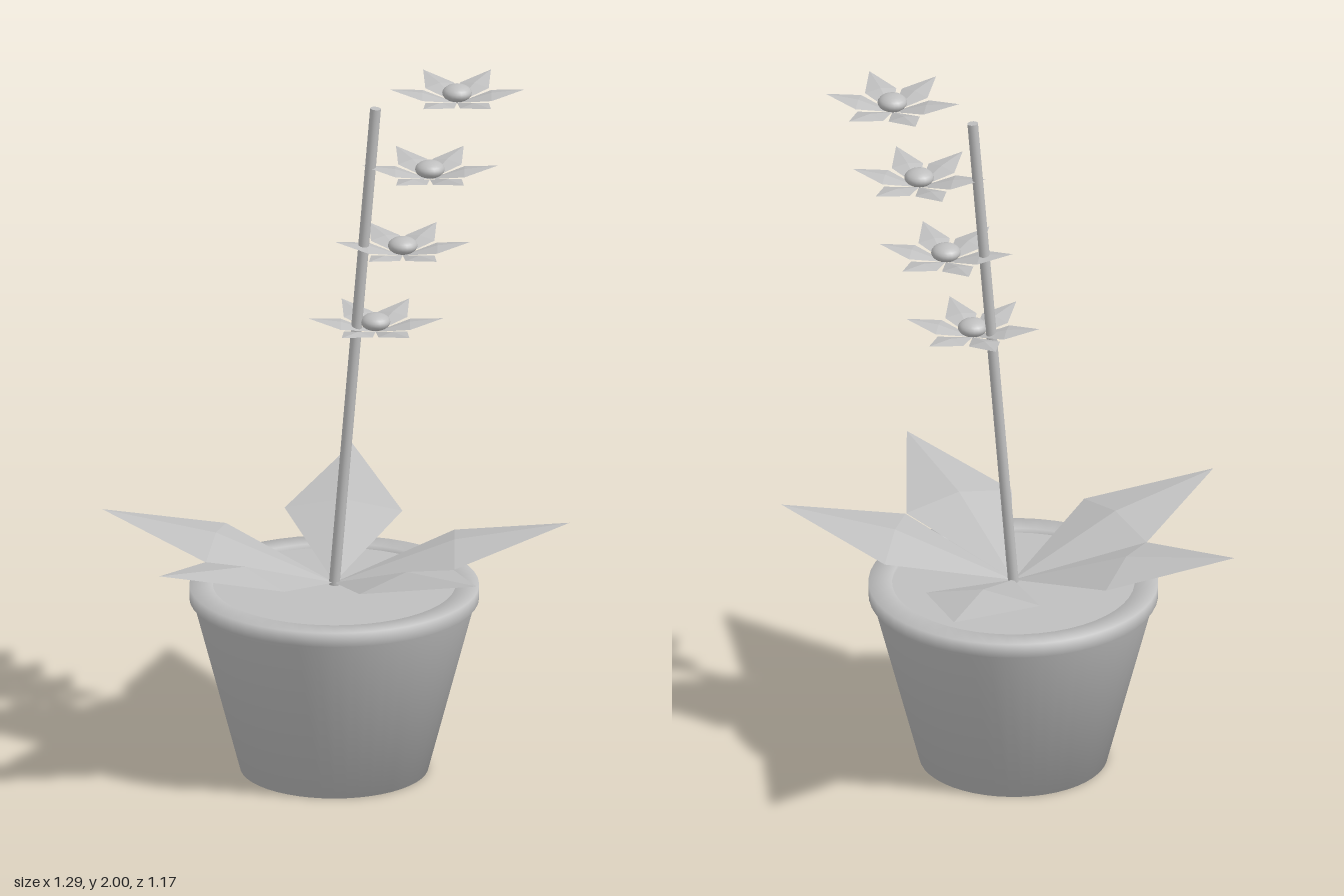
import * as THREE from 'three';

const clay = new THREE.MeshStandardMaterial({ color: 0xbfbfbf, side: THREE.DoubleSide });
clay.name = 'plain grey';

function add(parent, geometry, name, x = 0, y = 0, z = 0) {
  const mesh = new THREE.Mesh(geometry, clay);
  mesh.name = name;
  mesh.position.set(x, y, z);
  parent.add(mesh);
  return mesh;
}

// Four-facet blade along +x with a raised middle and an upturned tip
function bladeGeometry(length, halfWidth, rise, ridge) {
  const base = [0, 0, 0];
  const left = [length * 0.51, rise * 0.55, -halfWidth];
  const right = [length * 0.51, rise * 0.55, halfWidth];
  const middle = [length * 0.51, rise * 0.55 + ridge, 0];
  const tip = [length, rise, 0];
  const faces = [base, middle, left, base, right, middle, tip, left, middle, tip, middle, right];
  const g = new THREE.BufferGeometry();
  g.setAttribute('position', new THREE.Float32BufferAttribute(faces.flat(), 3));
  g.computeVertexNormals();
  return g;
}

export function createModel() {
  const plant = new THREE.Group();
  plant.name = 'pottedPlant';
  const cx = -0.004, cz = 0.065;

  // Tapered pot with a thick rim
  const profile = [
    [0, 0], [0.26, 0], [0.39, 0.495], [0.4, 0.495],
    [0.4, 0.535], [0.335, 0.535], [0.335, 0.5],
  ].map(([r, y]) => new THREE.Vector2(r, y));
  add(plant, new THREE.LatheGeometry(profile, 48), 'pot', cx, 0, cz);

  // Soil
  const soil = new THREE.CircleGeometry(0.34, 48).rotateX(-Math.PI / 2);
  add(plant, soil, 'soil', cx, 0.522, cz);

  // Five broad leaves fanning out from the base of the stem
  const leaf = bladeGeometry(0.65, 0.163, 0.175, 0.03);
  for (const degrees of [0, 53, 138, 190, 274.5]) {
    add(plant, leaf, 'leaf', cx, 0.54, cz).rotation.y = -THREE.MathUtils.degToRad(degrees);
  }

  // Leaning stem
  const foot = new THREE.Vector3(cx, 0.535, cz);
  const top = new THREE.Vector3(0.11, 1.93, cz);
  const along = top.clone().sub(foot);
  const stem = add(plant, new THREE.CylinderGeometry(0.015, 0.015, along.length(), 12), 'stem');
  stem.position.copy(foot).add(top).multiplyScalar(0.5);
  stem.quaternion.setFromUnitVectors(new THREE.Vector3(0, 1, 0), along.normalize());

  // Four six-petalled flowers beside the stem
  const petal = bladeGeometry(0.187, 0.046, 0.04, 0.008);
  const heart = new THREE.SphereGeometry(0.041, 20, 12).scale(1, 0.58, 1);
  for (let i = 0; i < 4; i++) {
    const flower = new THREE.Group();
    flower.name = 'flower';
    flower.position.set(0.11 + i * 0.075, 1.305 + i * 0.2237, cz);
    for (let k = 0; k < 6; k++) {
      add(flower, petal, 'petal', 0, -0.03, 0).rotation.y = k * Math.PI / 3;
    }
    add(flower, heart, 'flowerCentre');
    plant.add(flower);
  }
  return plant;
}
